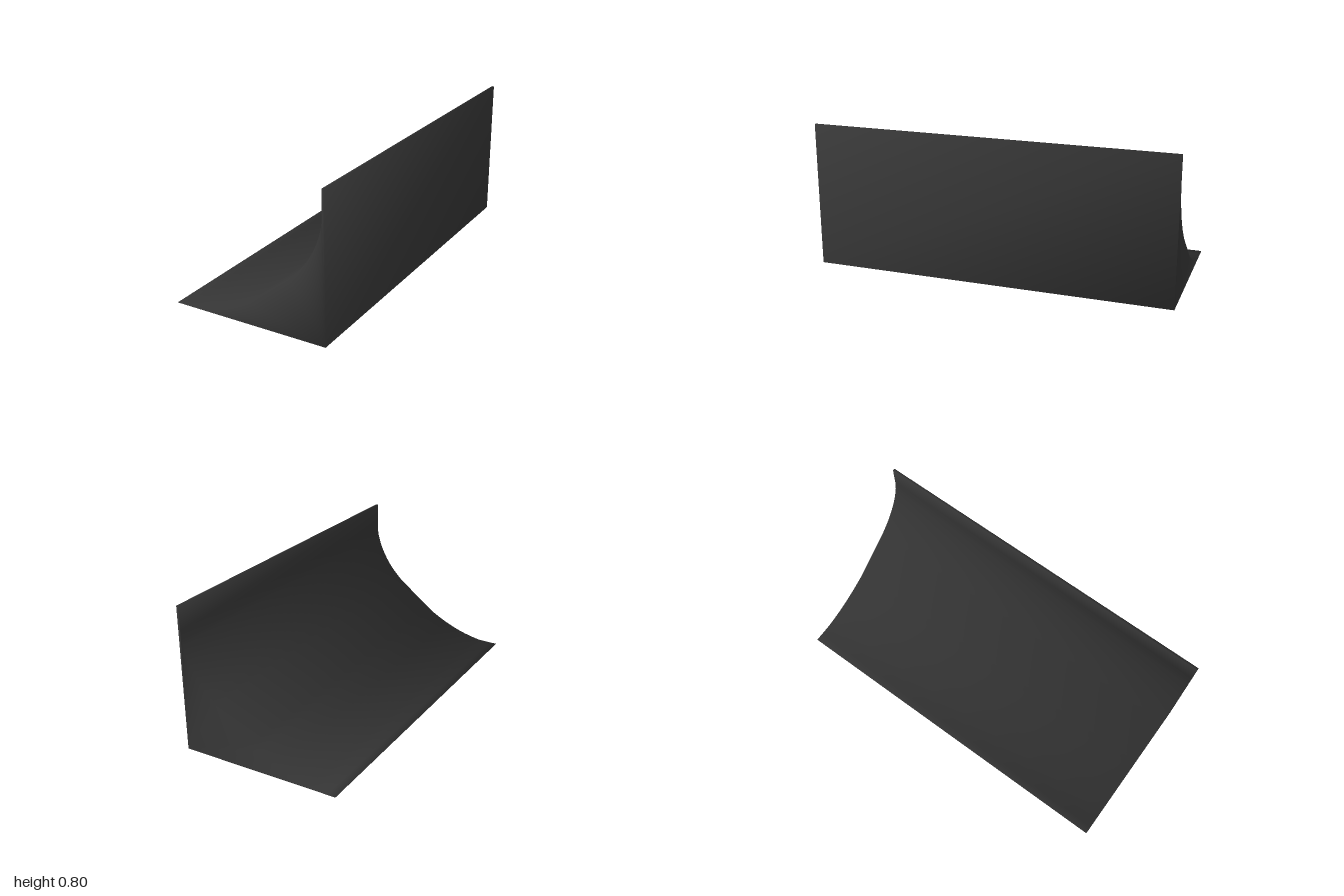
import * as THREE from 'three';
import { mergeVertices } from 'three/addons/utils/BufferGeometryUtils.js';

const v = (pts) => pts.map(([x, y]) => new THREE.Vector2(x, y));

// Leaves the underside open by dropping the faces that lie on the ground
function openUnderside(geometry) {
  const pos = geometry.attributes.position;
  const ids = Array.from(geometry.index.array);
  const kept = [];
  for (let i = 0; i < ids.length; i += 3) {
    const face = ids.slice(i, i + 3);
    if (face.some((id) => pos.getY(id) > 1e-4)) kept.push(...face);
  }
  geometry.setIndex(kept);
}

// Smooth normals: each face counts by its corner angle, so long faces do not dominate
function angleWeightedNormals(geometry) {
  const pos = geometry.attributes.position;
  const index = geometry.index;
  const sums = Array.from({ length: pos.count }, () => new THREE.Vector3());
  for (let i = 0; i < index.count; i += 3) {
    const ids = [0, 1, 2].map((k) => index.getX(i + k));
    const p = ids.map((id) => new THREE.Vector3().fromBufferAttribute(pos, id));
    const normal = new THREE.Triangle(...p).getNormal(new THREE.Vector3());
    ids.forEach((id, k) => {
      const a = p[(k + 1) % 3].clone().sub(p[k]);
      const b = p[(k + 2) % 3].clone().sub(p[k]);
      sums[id].addScaledVector(normal, a.angleTo(b));
    });
  }
  const normals = sums.flatMap((n) => n.normalize().toArray());
  geometry.setAttribute('normal', new THREE.Float32BufferAttribute(normals, 3));
}

export function createModel() {
  const group = new THREE.Group();
  group.name = 'curvedRamp';
  const charcoal = new THREE.MeshStandardMaterial({ color: 0x353535, side: THREE.DoubleSide });
  charcoal.name = 'charcoal';

  // Side profile: thin toe, shallow sweep, straight slope, steep sweep, upright lip
  const profile = new THREE.Shape();
  profile.moveTo(0.446, 0);
  profile.lineTo(0.446, 0.803);
  profile.lineTo(0.433, 0.803);
  profile.lineTo(0.433, 0.67);
  profile.splineThru(v([[0.43, 0.63], [0.423, 0.59], [0.4, 0.52], [0.36, 0.443], [0.31, 0.375], [0.25, 0.313]]));
  profile.lineTo(0.04, 0.152);
  profile.splineThru(v([[0, 0.125], [-0.1, 0.073], [-0.2, 0.034], [-0.3, 0.009], [-0.35, 0.003]]));
  profile.lineTo(-0.4, 0.002);
  profile.lineTo(-0.446, 0.002);
  profile.lineTo(-0.446, 0);

  // Shell extruded along z, welded so the shading runs smoothly over its edges
  let geometry = new THREE.ExtrudeGeometry(profile, { depth: 2, bevelEnabled: false, curveSegments: 3 });
  geometry.translate(0, 0, -1);
  geometry.deleteAttribute('normal');
  geometry.deleteAttribute('uv');
  geometry.clearGroups();
  geometry = mergeVertices(geometry, 1e-5);
  openUnderside(geometry);
  angleWeightedNormals(geometry);

  const ramp = new THREE.Mesh(geometry, charcoal);
  ramp.name = 'rampShell';
  group.add(ramp);
  return group;
}
